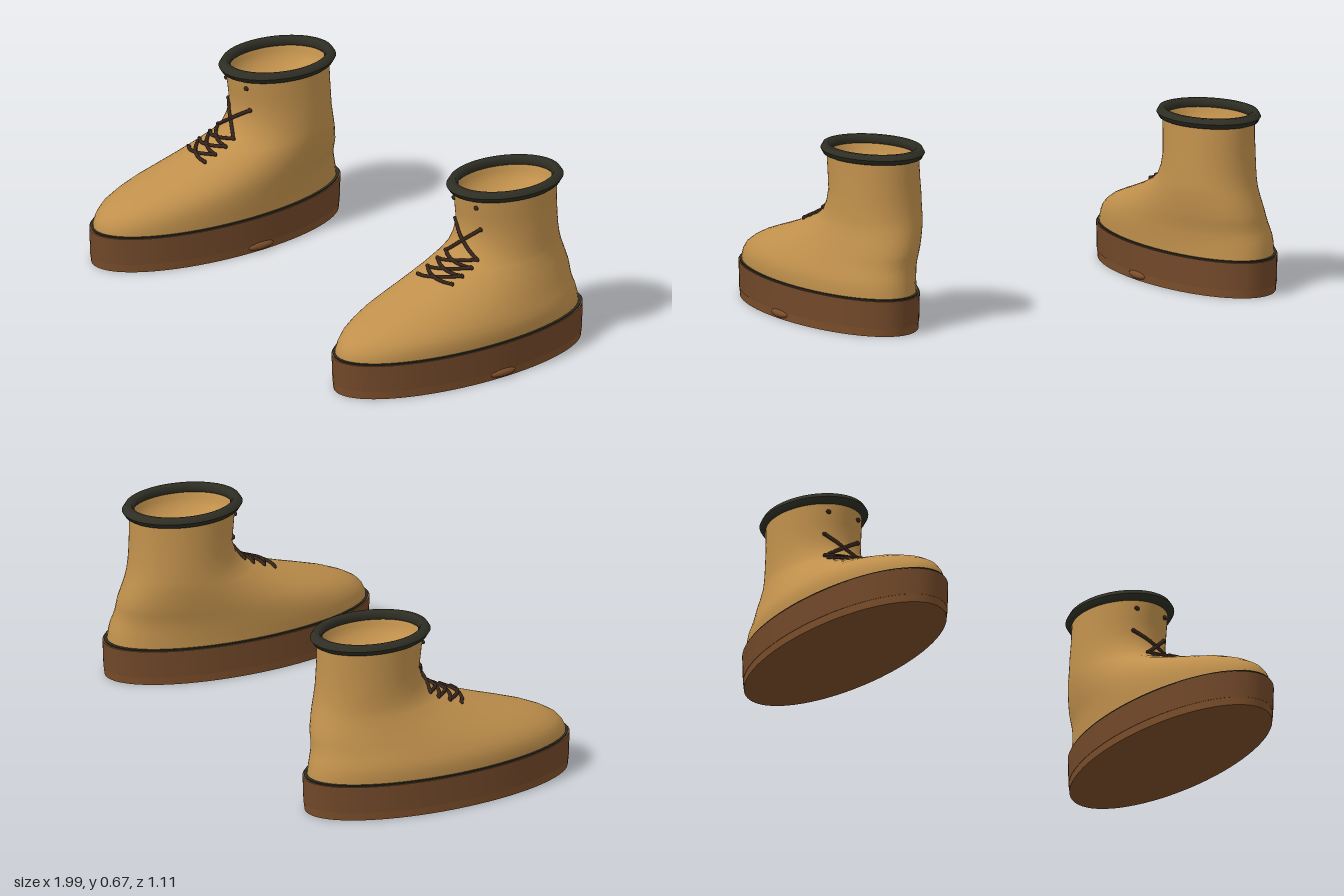
import * as THREE from 'three';

const paint = (name, color) => Object.assign(new THREE.MeshStandardMaterial({ color }), { name });
const tan = paint('tan leather', 0xc0904c);
const brown = paint('brown sole', 0x714829);
const outsoleBrown = paint('outsole brown', 0x7a4d2a);
const black = paint('dark collar', 0x2e2e24);
const lace = paint('lace brown', 0x35241a);

// Horizontal slices of the upper: height, heel z, toe z, inner x, outer x
const SLICES = [
  [0.12, -0.537, 0.54, -0.227, 0.226],
  [0.15, -0.533, 0.537, -0.228, 0.228],
  [0.175, -0.529, 0.525, -0.229, 0.228],
  [0.2, -0.523, 0.503, -0.23, 0.224],
  [0.225, -0.515, 0.462, -0.23, 0.213],
  [0.25, -0.51, 0.405, -0.23, 0.2],
  [0.275, -0.509, 0.33, -0.229, 0.185],
  [0.3, -0.507, 0.25, -0.228, 0.171],
  [0.34, -0.497, 0.13, -0.225, 0.148],
  [0.38, -0.485, 0.03, -0.222, 0.129],
  [0.41, -0.477, -0.02, -0.219, 0.121],
  [0.45, -0.47, -0.048, -0.215, 0.117],
  [0.5, -0.466, -0.064, -0.212, 0.114],
  [0.56, -0.464, -0.056, -0.208, 0.113],
  [0.65, -0.463, -0.046, -0.205, 0.114],
];

// Ellipse of the upper at a height; side is +1 or -1
function sliceAt(y, side) {
  let i = 0;
  while (i < SLICES.length - 2 && SLICES[i + 1][0] < y) i++;
  const a = SLICES[i], b = SLICES[i + 1];
  const t = THREE.MathUtils.clamp((y - a[0]) / (b[0] - a[0]), 0, 1);
  const [, back, front, inner, outer] = a.map((v, k) => v + (b[k] - v) * t);
  return {
    y, cx: side * (inner + outer) / 2, cz: (back + front) / 2,
    hx: (outer - inner) / 2, hz: (front - back) / 2,
  };
}

// Skin through a stack of ellipses
function loft(rings, segments = 64) {
  const position = [], index = [];
  rings.forEach((r, j) => {
    for (let i = 0; i < segments; i++) {
      const a = (i / segments) * Math.PI * 2;
      position.push(r.cx + r.hx * Math.cos(a), r.y, r.cz + r.hz * Math.sin(a));
      if (j === rings.length - 1) continue;
      const p = j * segments + i, n = j * segments + (i + 1) % segments;
      index.push(p, p + segments, n, n, p + segments, n + segments);
    }
  });
  const g = new THREE.BufferGeometry();
  g.setAttribute('position', new THREE.Float32BufferAttribute(position, 3));
  g.setIndex(index);
  g.computeVertexNormals();
  return g;
}

function makeBoot(side) {
  const boot = new THREE.Group();
  const add = (name, geometry, material) => {
    const mesh = new THREE.Mesh(geometry, material);
    mesh.name = name;
    boot.add(mesh);
    return mesh;
  };

  // Upper, rolling over the rim
  const rings = SLICES.map(([y]) => sliceAt(y, side));
  const rim = rings[rings.length - 1];
  add('upper', loft(rings), tan);

  // Inner hollow
  const bowl = [[0.65, 1], [0.65, 0.95], [0.62, 0.93], [0.59, 0.84], [0.565, 0.66], [0.55, 0.4], [0.545, 0]];
  add('lining', loft(bowl.map(([y, k]) => ({ ...rim, y, hx: rim.hx * k, hz: rim.hz * k }))), tan);

  // Six-sided collar ring with its ridge outward
  const profile = [];
  for (let i = 0; i <= 6; i++) {
    const a = (i / 6) * Math.PI * 2;
    profile.push(new THREE.Vector2(1 + 0.115 * Math.cos(a), 0.021 * Math.sin(a)));
  }
  const collar = add('collar', new THREE.LatheGeometry(profile, 64), black);
  collar.scale.set(0.161, 1, 0.212);
  collar.position.set(rim.cx, 0.651, rim.cz);

  // Sole layers
  const layer = (name, y0, y1, hx, hz, material) => {
    const mesh = add(name, new THREE.CylinderGeometry(1, 0.993, y1 - y0, 72), material);
    mesh.scale.set(hx, 1, hz);
    mesh.position.y = (y0 + y1) / 2;
  };
  layer('outsole', 0, 0.035, 0.235, 0.549, outsoleBrown);
  layer('midsole', 0.03, 0.134, 0.238, 0.553, brown);
  layer('welt', 0.132, 0.14, 0.235, 0.548, black);

  // Small bulge on the edge of the outsole
  const nub = add('outsoleBulge', new THREE.SphereGeometry(1, 16, 10), outsoleBrown);
  nub.scale.set(0.02, 0.016, 0.06);
  nub.position.set(0.228, 0.02, -0.04);

  // Point on the front of the upper
  const onFront = (x, y) => {
    const s = sliceAt(y, side);
    const u = (x - s.cx) / s.hx;
    return new THREE.Vector3(x, y + 0.003, s.cz + s.hz * Math.sqrt(Math.max(0, 1 - u * u)) + 0.003);
  };

  // Criss-cross laces: each row is height, centre, half width
  const rows = [[0.343, -0.012, 0.077], [0.362, -0.014, 0.077], [0.382, -0.017, 0.076], [0.405, -0.02, 0.072], [0.51, -0.042, 0.072]];
  for (let i = 0; i < rows.length - 1; i++) {
    const [y0, c0, w0] = rows[i], [y1, c1, w1] = rows[i + 1];
    for (const d of [-1, 1]) {
      const points = [];
      for (let k = 0; k <= 6; k++) {
        const t = k / 6;
        points.push(onFront(
          THREE.MathUtils.lerp(side * c0 + d * w0, side * c1 - d * w1, t),
          THREE.MathUtils.lerp(y0, y1, t)));
      }
      add('lace', new THREE.TubeGeometry(new THREE.CatmullRomCurve3(points), 20, 0.007, 8), lace);
    }
  }

  // Eyelets
  for (const [y, c, w] of [...rows, [0.598, -0.042, 0.066]]) {
    for (const d of [-1, 1]) {
      const eyelet = add('eyelet', new THREE.SphereGeometry(0.011, 12, 8), lace);
      eyelet.position.copy(onFront(side * c + d * w, y));
      eyelet.scale.set(1, 0.8, 0.6);
    }
  }
  return boot;
}

export function createModel() {
  const model = new THREE.Group();
  model.name = 'boots';
  for (const side of [-1, 1]) {
    const boot = makeBoot(side);
    boot.name = side > 0 ? 'leftBoot' : 'rightBoot';
    boot.position.x = side * 0.754 - 0.008;
    model.add(boot);
  }
  return model;
}
